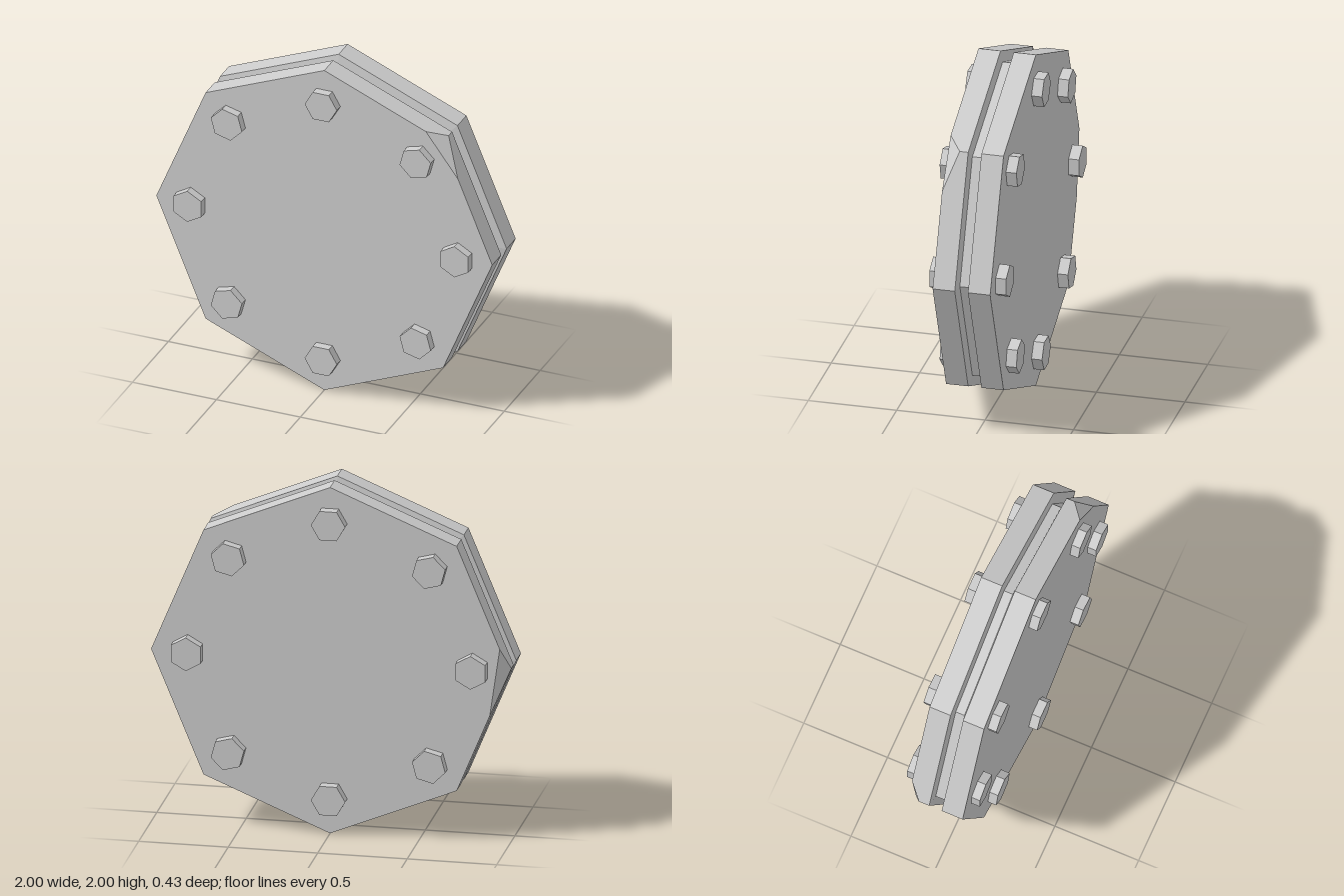
import * as THREE from 'three';
import { ConvexGeometry } from 'three/addons/geometries/ConvexGeometry.js';

const SIDES = 8, RADIUS = 1, CORE_RADIUS = 0.935, Z_MID = 0.004;
const STEP = (Math.PI * 2) / SIDES;

const corner = (i, r, z) =>
  new THREE.Vector3(Math.cos(i * STEP) * r, Math.sin(i * STEP) * r, z);

// Octagonal plate with a bevelled inner rim and one chipped outer corner.
// cutNext / cutPrev are the fractions of the two edges taken by the chip.
function plateGeometry(outer, inner, core, chip, cutNext, cutPrev, chipZ) {
  const points = [];
  for (let i = 0; i < SIDES; i++) {
    points.push(corner(i, CORE_RADIUS, core), corner(i, RADIUS, inner));
    const c = corner(i, RADIUS, outer);
    if (i === chip) {
      points.push(c.clone().lerp(corner(i + 1, RADIUS, outer), cutNext));
      points.push(c.clone().lerp(corner(i - 1, RADIUS, outer), cutPrev));
      points.push(corner(i, RADIUS, chipZ));
    } else {
      points.push(c);
    }
  }
  return new ConvexGeometry(points);
}

export function createModel() {
  const steel = new THREE.MeshStandardMaterial({ color: 0xcccccc });
  steel.name = 'light grey steel';
  steel.flatShading = true;

  const model = new THREE.Group();
  model.name = 'boltedOctagonDisc';
  const disc = new THREE.Group();
  disc.name = 'disc';
  disc.position.y = 1;
  model.add(disc);

  const add = (name, geometry) => {
    const mesh = new THREE.Mesh(geometry, steel);
    mesh.name = name;
    disc.add(mesh);
    return mesh;
  };

  // Two outer plates
  add('frontPlate', plateGeometry(0.167, 0.042, 0.03, 1, 0.145, 0.3, 0.09));
  add('backPlate', plateGeometry(-0.158, -0.033, -0.022, 4, 0.37, 0.18, -0.094));

  // Recessed core between the plates
  const core = new THREE.CylinderGeometry(CORE_RADIUS, CORE_RADIUS, 0.052, SIDES, 1, true);
  core.rotateX(Math.PI / 2);
  add('core', core).position.z = Z_MID;

  // Hexagonal bolt heads on both faces, turned with the disc
  const head = (depth) =>
    new THREE.CylinderGeometry(0.096, 0.096, depth, 6).rotateX(Math.PI / 2);
  const frontHead = head(0.06), backHead = head(0.07);
  for (let i = 0; i < SIDES; i++) {
    for (const [name, geometry, z] of [
      ['frontBolt', frontHead, 0.187],
      ['backBolt', backHead, -0.182],
    ]) {
      const bolt = add(name + (i + 1), geometry);
      bolt.position.copy(corner(i, 0.795, z));
      bolt.rotation.z = i * STEP;
    }
  }
  return model;
}
